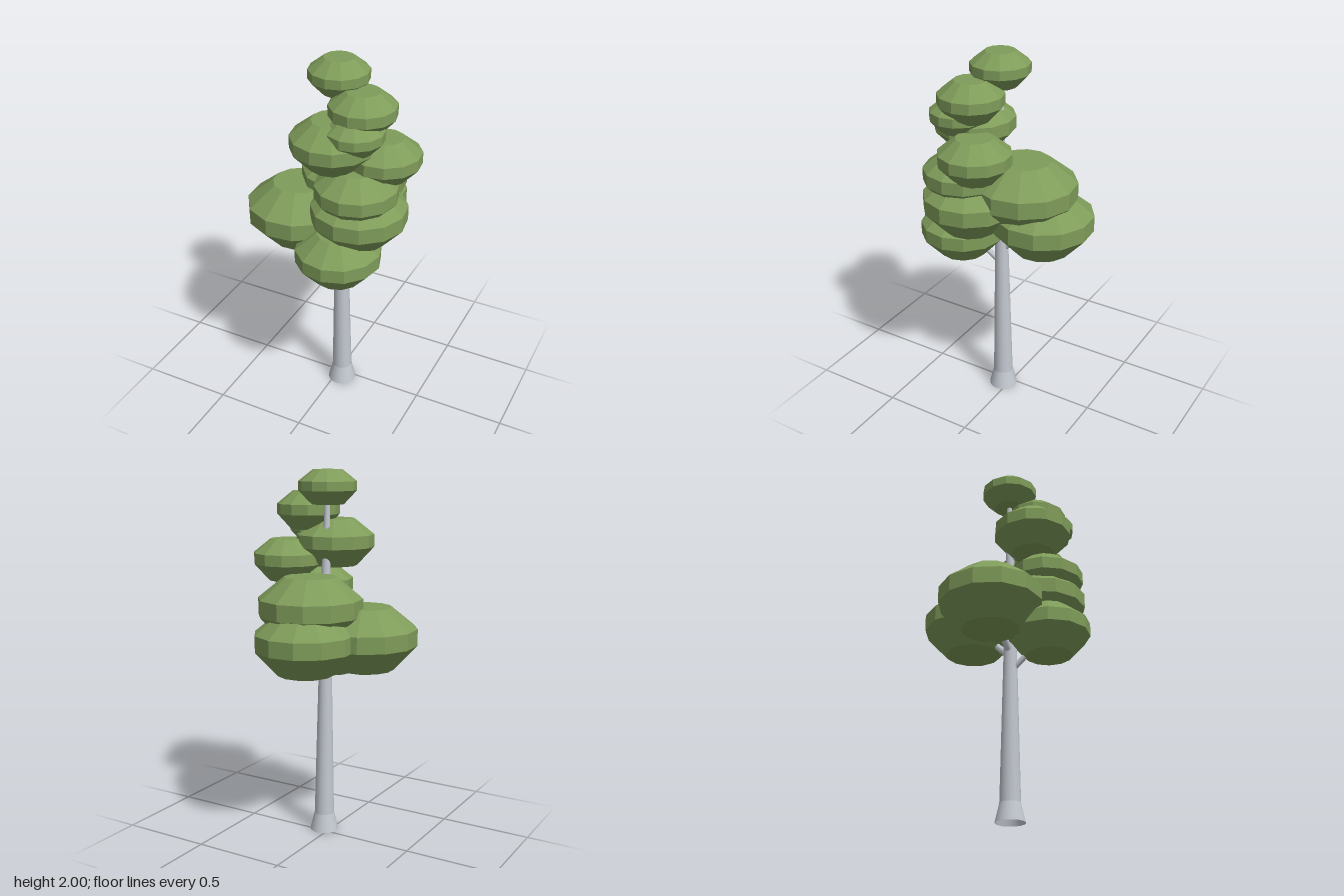
import * as THREE from 'three';

// Foliage clumps: x, bottom y, z, radius, top y, turn in degrees
const CLUMPS = [
  [0.025, 1.82, 0.05, 0.154, 2.0, 0],
  [0.187, 1.68, 0.12, 0.17, 1.885, 0],
  [0.185, 1.6, 0.2, 0.147, 1.775, -6],
  [0.057, 1.485, 0.185, 0.213, 1.738, -4],
  [0.274, 1.405, 0.047, 0.189, 1.63, -7.6],
  [0.183, 1.24, 0.173, 0.214, 1.495, 2],
  [0.183, 1.07, 0.14, 0.249, 1.375, -5],
  [0.114, 0.872, 0.238, 0.224, 1.145, 4],
  [-0.19, 0.955, 0.085, 0.278, 1.29, -10.7],
  [0.04, 1.12, -0.1, 0.278, 1.455, -6],
  [0.012, 0.957, -0.196, 0.27, 1.285, -10.7],
];

export function createModel() {
  const tree = new THREE.Group();
  tree.name = 'tree';
  const leaf = new THREE.MeshStandardMaterial({ name: 'leaf green', color: 0x7f9c5a, flatShading: true });
  const bark = new THREE.MeshStandardMaterial({ name: 'pale bark', color: 0xc3c8d0, side: THREE.DoubleSide });

  const add = (name, geometry, material) => {
    const mesh = new THREE.Mesh(geometry, material);
    mesh.name = name;
    tree.add(mesh);
    return mesh;
  };

  // Tapered open limb between two points
  const limb = (name, from, to, r0, r1, sides) => {
    const dir = to.clone().sub(from);
    const mesh = add(name, new THREE.CylinderGeometry(r1, r0, dir.length(), sides, 1, true), bark);
    mesh.position.copy(from).addScaledVector(dir, 0.5);
    mesh.quaternion.setFromUnitVectors(new THREE.Vector3(0, 1, 0), dir.normalize());
  };

  // Trunk: flared foot, main stem and thin leader up to the crown
  const stem = [
    [0.037, 0, 0.035, 0.079],
    [0.037, 0.1, 0.035, 0.055],
    [0.035, 0.9, 0.042, 0.037],
    [0.033, 1.45, 0.046, 0.025],
    [0.025, 1.9, 0.05, 0.012],
  ];
  const names = ['trunkFoot', 'trunk', 'upperTrunk', 'leader'];
  const point = (p) => new THREE.Vector3(p[0], p[1], p[2]);
  names.forEach((name, i) =>
    limb(name, point(stem[i]), point(stem[i + 1]), stem[i][3], stem[i + 1][3], 16));

  CLUMPS.forEach(([x, y, z, r, top, turn], i) => {
    // Clump: flat-topped disc with a straight band round its middle
    const h = top - y;
    const profile = [[0, 0], [0.56, 0], [1, 0.4], [1, 0.665], [0.5, 1], [0, 1]]
      .map(([px, py]) => new THREE.Vector2(px * r, py * h));
    const clump = add('foliage' + (i + 1), new THREE.LatheGeometry(profile, 12), leaf);
    clump.position.set(x, y, z);
    clump.rotation.y = THREE.MathUtils.degToRad(turn);

    // Branch rising from the trunk into the clump
    if (i > 0) {
      const tip = new THREE.Vector3(x, y + h * 0.5, z);
      const reach = Math.hypot(x - 0.034, z - 0.043);
      const root = new THREE.Vector3(0.034, tip.y - reach * 0.95, 0.043);
      limb('branch' + i, root, tip, 0.06 * r + 0.004, 0.03 * r + 0.004, 8);
    }
  });
  return tree;
}
